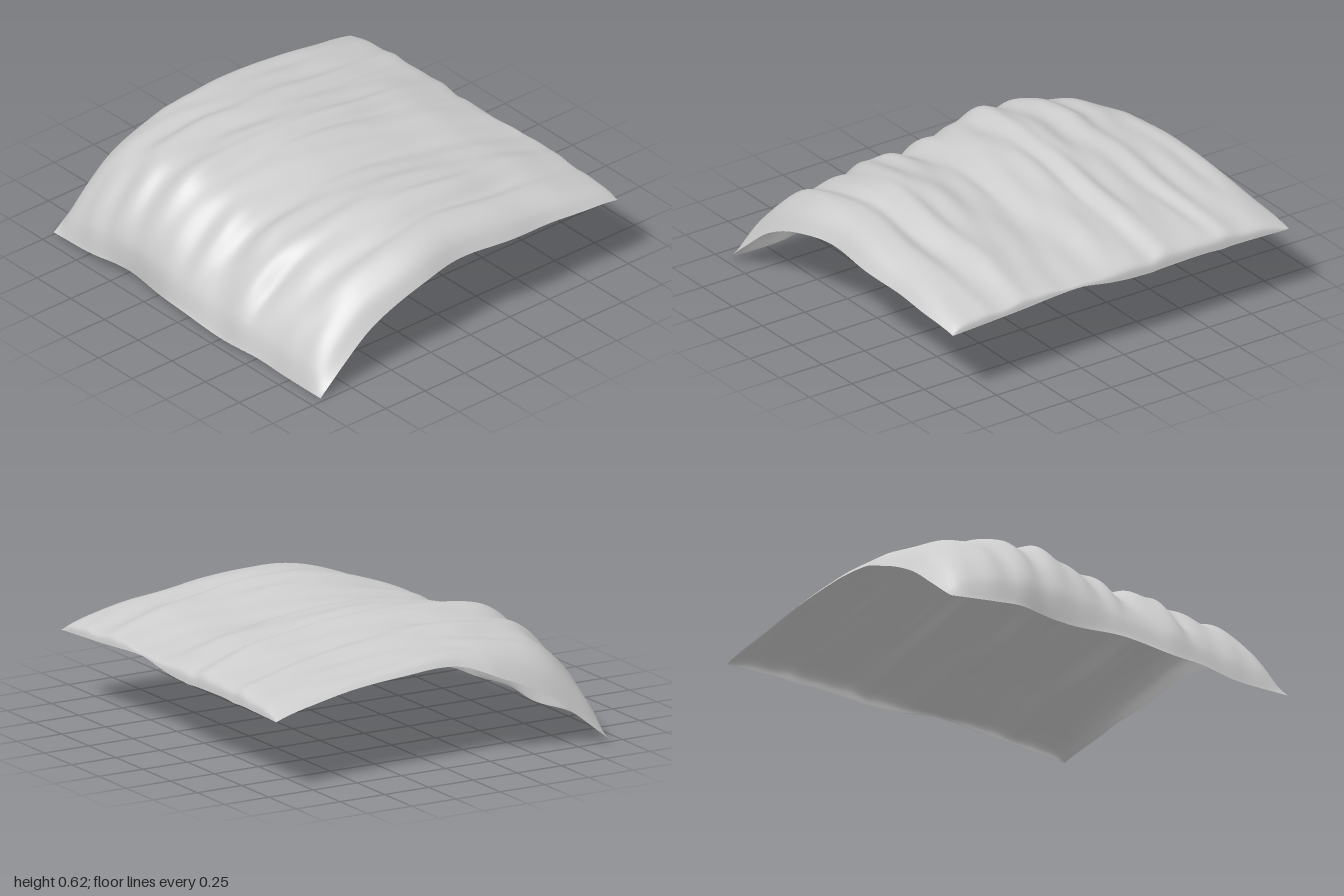
import * as THREE from 'three';

// Smooth one-dimensional function through [input, value] pairs (inputs ascending)
function smoothTable(pairs) {
  const n = pairs.length;
  const slope = (i) => {
    const a = pairs[Math.max(i - 1, 0)], b = pairs[Math.min(i + 1, n - 1)];
    return (b[1] - a[1]) / (b[0] - a[0]);
  };
  return (s) => {
    const c = THREE.MathUtils.clamp(s, pairs[0][0], pairs[n - 1][0]);
    let i = 0;
    while (i < n - 2 && c > pairs[i + 1][0]) i++;
    const [x0, y0] = pairs[i], [x1, y1] = pairs[i + 1];
    const h = x1 - x0, t = (c - x0) / h, t2 = t * t, t3 = t2 * t;
    return y0 * (2 * t3 - 3 * t2 + 1) + y1 * (3 * t2 - 2 * t3)
      + h * (slope(i) * (t3 - 2 * t2 + t) + slope(i + 1) * (t3 - t2));
  };
}

const spline = (points) => new THREE.SplineCurve(points.map(([x, y]) => new THREE.Vector2(x, y)));

// Arch of the cloth along its low side edges and along its highest folds
const lowArch = spline([[-0.93, 0], [-0.86, 0.06], [-0.76, 0.145], [-0.6, 0.27], [-0.4, 0.37],
  [-0.2, 0.425], [0, 0.44], [0.2, 0.432], [0.4, 0.42], [0.6, 0.41], [0.8, 0.395], [0.9, 0.38], [0.945, 0.37], [0.955, 0.365]]);
const highArch = spline([[-0.93, 0], [-0.925, 0.2], [-0.83, 0.4], [-0.66, 0.56], [-0.42, 0.612],
  [-0.2, 0.632], [0, 0.628], [0.2, 0.608], [0.4, 0.575], [0.6, 0.548], [0.8, 0.508], [0.9, 0.48], [0.943, 0.44], [0.955, 0.365]]);

// Crest height over the top, from the back edge to the front edge
const crest = smoothTable([[-1, 0.425], [-0.97, 0.465], [-0.9, 0.52], [-0.8, 0.545], [-0.7, 0.56],
  [-0.62, 0.59], [-0.52, 0.58], [-0.42, 0.587], [-0.35, 0.603], [-0.28, 0.63], [-0.2, 0.6], [-0.1, 0.598],
  [0, 0.58], [0.16, 0.545], [0.3, 0.568], [0.4, 0.58], [0.5, 0.6], [0.57, 0.615], [0.65, 0.588],
  [0.72, 0.56], [0.8, 0.57], [0.9, 0.55], [0.96, 0.5], [1, 0.425]]);

// Fold fullness (0 low arch, 1 high arch) where the cloth hangs down on the left
const hanging = smoothTable([[-1, 0], [-0.93, 0.38], [-0.8, 0.66], [-0.6, 0.9], [-0.45, 0.9], [-0.28, 0.98],
  [-0.12, 0.82], [0.05, 0.7], [0.2, 0.66], [0.38, 0.7], [0.5, 0.58], [0.65, 0.54], [0.8, 0.48], [0.93, 0.3], [1, 0]]);

// Wavy hems: left in x and y, right in y, front and back in z
const leftHemX = smoothTable([[-1, 0], [-0.65, -0.022], [-0.4, 0.008], [0, -0.032], [0.4, -0.025], [0.65, 0], [1, 0]]);
const leftHemY = smoothTable([[-1, 0.01], [-0.75, 0.035], [-0.55, 0.055], [-0.25, 0.036], [0, 0.042], [0.3, 0.02], [0.5, 0.02], [0.7, 0], [1, 0]]);
const rightHemY = smoothTable([[-1, 0], [-0.5, 0.01], [-0.1, 0.003], [0.05, 0.015], [0.25, 0.043], [0.6, 0.022], [1, 0]]);
const backHem = smoothTable([[-0.95, -1], [-0.3, -0.998], [-0.2, -0.975], [-0.1, -0.955], [0.2, -0.968], [0.6, -0.975], [0.95, -1]]);
const frontHem = smoothTable([[-0.95, 0.978], [-0.65, 0.975], [-0.3, 0.997], [-0.05, 0.978], [0.25, 0.997], [0.5, 0.985], [0.75, 0.992], [0.95, 0.978]]);

// The back edge is lifted where it is drawn inwards
const backLift = smoothTable([[-0.95, 0], [-0.35, 0], [-0.1, 0.045], [0.2, 0.05], [0.45, 0.045], [0.75, 0.015], [0.95, 0]]);

// Local creases: x, z, half length, half width, depth, slant
const creases = [
  [0.65, -0.57, 0.25, 0.045, 0.022, -0.1], [0.35, -0.2, 0.5, 0.04, 0.015, 0.03], [-0.75, 0.45, 0.16, 0.05, 0.03, 0.25],
  [-0.85, 0.05, 0.12, 0.05, 0.025, 0.3], [0.1, 0.7, 0.45, 0.04, 0.012, -0.05], [0.05, 0.13, 0.3, 0.04, 0.01, 0],
];

const creaseDepth = (x, z) => creases.reduce((sum, [cx, cz, length, width, depth, slant]) => {
  const u = (x - cx) / length, v = (z - cz - slant * (x - cx)) / width;
  return sum + depth * Math.exp(-u * u - v * v);
}, 0);

function clothPoint(t, s, target) {
  const low = lowArch.getPoint(t), high = highArch.getPoint(t);
  const x = low.x, inside = 1 - s ** 6;
  const overTop = THREE.MathUtils.smoothstep(x, -0.75, -0.1);
  let w = THREE.MathUtils.lerp(hanging(s), (crest(s) - 0.425) / 0.205, overTop);
  // Flatter roll at the right hem, fullest towards the back
  const rolled = 0.28 - 0.2 * Math.exp(-(((s + 0.65) / 0.25) ** 2));
  w *= 1 - rolled * THREE.MathUtils.smoothstep(x, 0.6, 0.95);
  // Small secondary wrinkles
  w += inside * (0.045 * Math.sin(19 * s + 2.5 * x) * Math.sin(3 * x + 4 * s)
    + 0.035 * Math.sin(33 * s - 3 * x + 1) * Math.cos(5 * x - 2 * s) - 0.02);
  const p = low.lerp(high, w);
  const left = Math.max(0, 1 - t / 0.22) ** 2, right = Math.max(0, 1 - (1 - t) / 0.25) ** 2;
  const back = THREE.MathUtils.smoothstep(-s, 0.85, 1);
  const z = THREE.MathUtils.lerp(backHem(p.x), frontHem(p.x), (s + 1) / 2);
  target.set(
    p.x + left * leftHemX(s),
    p.y + left * leftHemY(s) + right * rightHemY(s) + back * backLift(x) - creaseDepth(x, s) * inside * Math.min(1, 6 * t),
    z,
  );
}

export function createModel() {
  const group = new THREE.Group();
  group.name = 'drapedCloth';

  // Flat sheet bent over the arch and folded
  const geometry = new THREE.PlaneGeometry(2, 2, 110, 150).rotateX(-Math.PI / 2);
  const position = geometry.attributes.position;
  const v = new THREE.Vector3();
  for (let i = 0; i < position.count; i++) {
    clothPoint((position.getX(i) + 1) / 2, position.getZ(i), v);
    position.setXYZ(i, v.x, v.y, v.z);
  }
  geometry.computeVertexNormals();

  const cloth = new THREE.Mesh(geometry, new THREE.MeshStandardMaterial({ color: 0xcccccc, side: THREE.DoubleSide }));
  cloth.name = 'clothSheet';
  group.add(cloth);
  return group;
}
